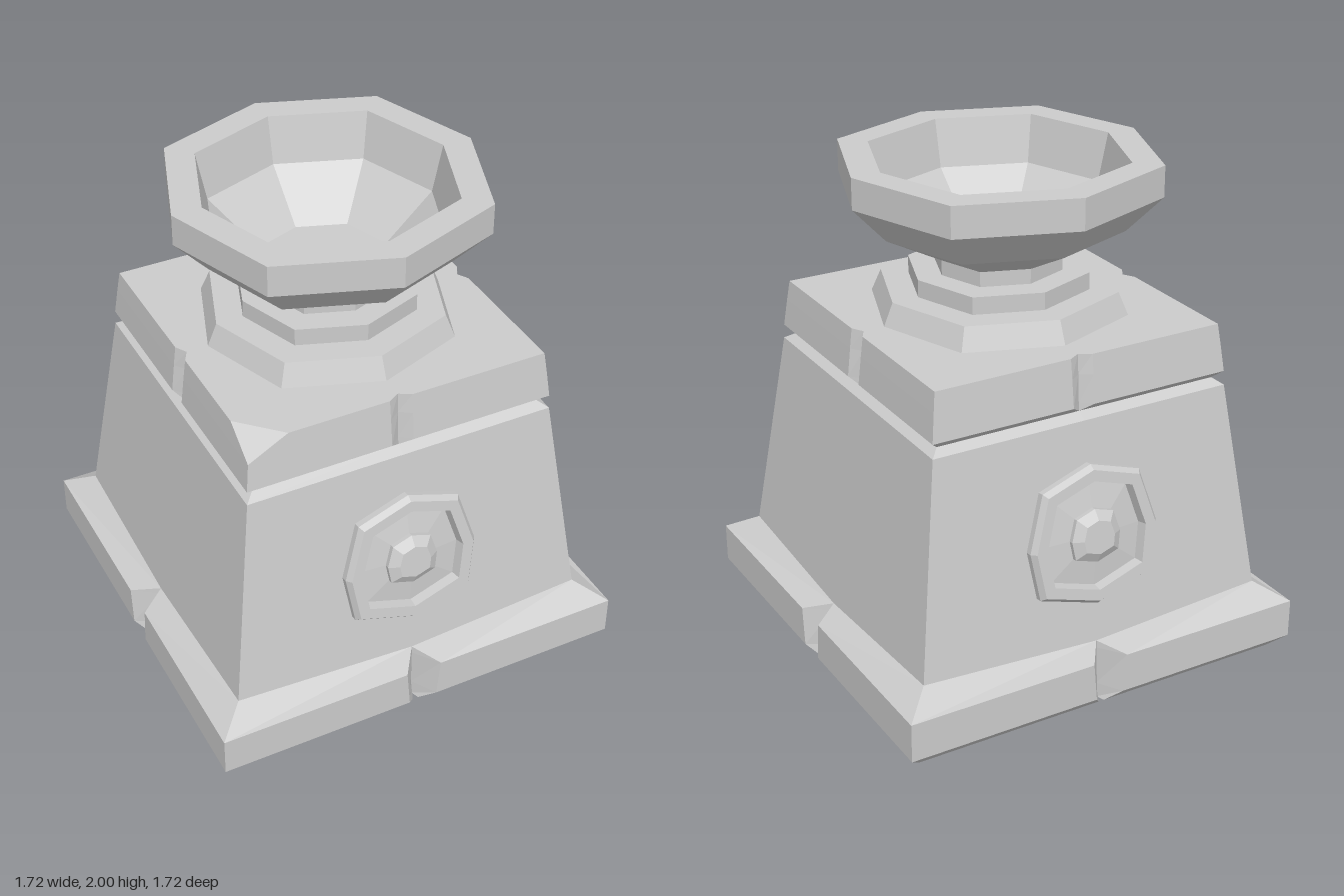
import * as THREE from 'three';

const material = new THREE.MeshStandardMaterial({
  color: 0xcccccc, flatShading: true, side: THREE.DoubleSide,
});

// Skin a stack of closed rings; each ring is a list of Vector3. Optionally cap the last one.
function loft(name, rings, capEnd = true) {
  const pos = [];
  const e1 = new THREE.Vector3(), e2 = new THREE.Vector3();
  const tri = (a, b, c) => {
    e1.subVectors(b, a).cross(e2.subVectors(c, a));
    if (e1.length() > 1e-7) pos.push(...a, ...b, ...c);
  };
  const n = rings[0].length;
  for (let r = 0; r < rings.length - 1; r++) {
    const lo = rings[r], hi = rings[r + 1];
    for (let i = 0; i < n; i++) {
      const j = (i + 1) % n;
      tri(lo[i], lo[j], hi[j]);
      tri(lo[i], hi[j], hi[i]);
    }
  }
  if (capEnd) {
    const last = rings[rings.length - 1];
    const centre = new THREE.Vector3();
    last.forEach((p) => centre.addScaledVector(p, 1 / n));
    last.forEach((p, i) => tri(p, last[(i + 1) % n], centre));
  }
  const geometry = new THREE.BufferGeometry();
  geometry.setAttribute('position', new THREE.Float32BufferAttribute(pos, 3));
  geometry.computeVertexNormals();
  const mesh = new THREE.Mesh(geometry, material);
  mesh.name = name;
  return mesh;
}

// Square ring with a V notch in the middle of each side and one corner that can be chipped
function squareRing({ y, h, w = 0, apex = h, apexY = y, chip = 0 }) {
  const points = [];
  const up = new THREE.Vector3(0, 1, 0);
  for (let k = 0; k < 4; k++) {
    const notch = (s) => (w ? [s * w, y, h] : [0, apexY, apex]);
    const side = [
      [-h + (k === 0 ? chip : 0), y, h],
      notch(-1), [0, apexY, apex], notch(1),
      [h - (k === 3 ? chip : 0), y, h],
    ];
    side.forEach((p) => points.push(new THREE.Vector3(...p).applyAxisAngle(up, k * Math.PI / 2)));
  }
  return points;
}

// Slightly boxy octagon ring around the y axis
function octagonRing([r, y]) {
  return Array.from({ length: 8 }, (_, i) => {
    const a = i * Math.PI / 4, d = r * (i % 2 ? 1.04 : 1);
    return new THREE.Vector3(d * Math.cos(a), y, -d * Math.sin(a));
  });
}

// Framed medallion with a central stud, lying in its local xy plane
function createMedallion() {
  const outline = [
    [0.28, -0.01], [0.213, 0.213], [0, 0.282], [-0.213, 0.213],
    [-0.28, -0.01], [-0.25, -0.205], [0, -0.283], [-0.25, -0.205],
  ];
  outline[7] = [0.25, -0.205];
  const ring = ([s, z]) => outline.map(([x, y]) => new THREE.Vector3(x * s, y * s, z));
  const group = new THREE.Group();
  group.name = 'medallion';
  group.add(
    loft('medallionFrame', [
      [1, -0.02], [1, 0.025], [0.94, 0.048], [0.78, 0.048], [0.75, 0.008], [0.36, 0.022],
    ].map(ring)),
    loft('medallionStud', [[0.38, 0], [0.38, 0.04], [0.24, 0.065]].map(ring)),
  );
  return group;
}

export function createModel() {
  const model = new THREE.Group();
  model.name = 'pedestalBrazier';

  // Open-bottomed plinth and tapered body
  model.add(loft('body', [
    { y: 0, h: 0.8, w: 0.012, apex: 0.765 },
    { y: 0.06, h: 0.86, w: 0.06, apex: 0.76 },
    { y: 0.22, h: 0.86, w: 0.075, apex: 0.758 },
    { y: 0.29, h: 0.748, apex: 0.755, apexY: 0.25 },
    { y: 1.14, h: 0.637 },
    { y: 1.165, h: 0.6 },
  ].map(squareRing), false));

  // Notched cap slab with a chipped corner
  model.add(loft('cap', [
    { y: 1.165, h: 0.6 },
    { y: 1.197, h: 0.635, w: 0.045, apex: 0.597 },
    { y: 1.31, h: 0.622, w: 0.046, apex: 0.59 },
    { y: 1.39, h: 0.612, w: 0.047, apex: 0.585, chip: 0.155 },
  ].map(squareRing)));

  // Octagonal steps and neck
  model.add(loft('steps', [
    [0.5, 1.385], [0.46, 1.48], [0.35, 1.48], [0.35, 1.55],
    [0.247, 1.55], [0.247, 1.615],
  ].map(octagonRing)));

  // Bowl: outer shell, rim, then inside down to the floor
  model.add(loft('bowl', [
    [0.247, 1.61], [0.48, 1.73], [0.616, 1.875], [0.616, 2],
    [0.497, 2], [0.455, 1.81], [0.26, 1.63],
  ].map(octagonRing)));

  // Medallions on front and back, leaning with the walls
  for (const turn of [0, Math.PI]) {
    const medallion = createMedallion();
    medallion.position.set(0, 0.698, 0.697);
    medallion.rotation.x = -Math.atan2(0.111, 0.85);
    const pivot = new THREE.Group();
    pivot.name = turn ? 'backMedallion' : 'frontMedallion';
    pivot.rotation.y = turn;
    pivot.add(medallion);
    model.add(pivot);
  }
  return model;
}
